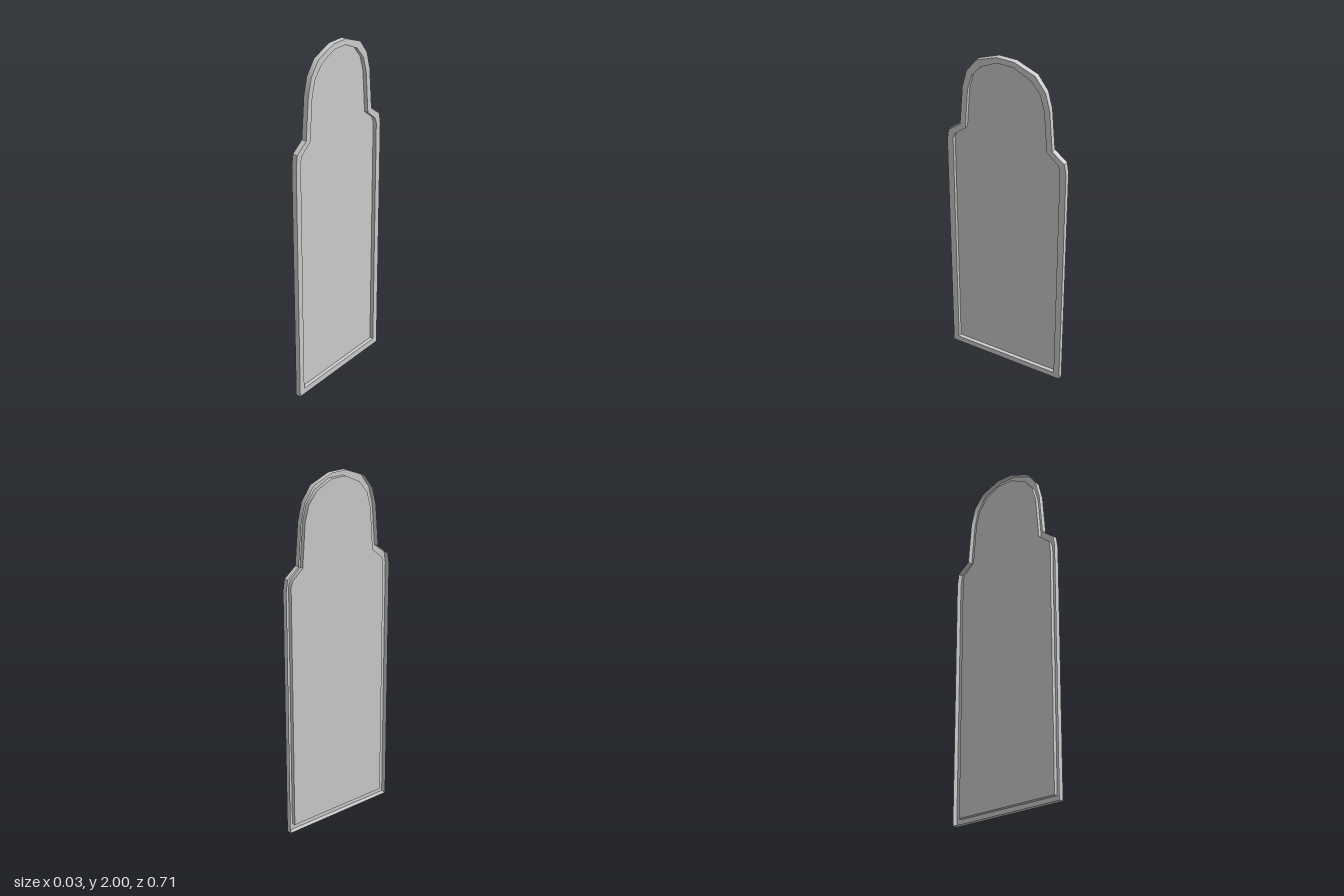
import * as THREE from 'three';
import { toCreasedNormals } from 'three/addons/utils/BufferGeometryUtils.js';

const HALF = 0.015;     // half thickness of the rim
const PANEL = -0.007;   // depth at which the recessed panel sits

// Right half of each outline, bottom to top: [half width, height]
const OUTER = [[0.355, 0], [0.355, 1.425], [0.345, 1.49], [0.273, 1.545],
  [0.253, 1.78], [0.228, 1.875], [0.17, 1.953], [0.05, 2]];
const INNER = [[0.319, 0.036], [0.319, 1.443], [0.307, 1.475], [0.241, 1.53],
  [0.222, 1.77], [0.197, 1.857], [0.143, 1.922], [0.047, 1.968]];

// Mirror a half outline into a closed counter-clockwise loop
function loop(half) {
  const right = half.map(([x, y]) => new THREE.Vector2(x, y));
  const left = half.map(([x, y]) => new THREE.Vector2(-x, y)).reverse();
  return [...right, ...left];
}

// Wall following a closed loop between two depths
function wall(points, back, front) {
  const pos = [];
  points.forEach((a, i) => {
    const b = points[(i + 1) % points.length];
    pos.push(a.x, a.y, back, b.x, b.y, back, b.x, b.y, front);
    pos.push(a.x, a.y, back, b.x, b.y, front, a.x, a.y, front);
  });
  const g = new THREE.BufferGeometry();
  g.setAttribute('position', new THREE.Float32BufferAttribute(pos, 3));
  return toCreasedNormals(g, 0.6);
}

export function createModel() {
  const group = new THREE.Group();
  group.name = 'archedPanel';
  const material = new THREE.MeshStandardMaterial({ color: 0xcccccc, side: THREE.DoubleSide });

  // Parts are drawn in the XY plane, then turned to face +x
  const add = (name, geometry) => {
    const mesh = new THREE.Mesh(geometry.rotateY(Math.PI / 2), material);
    mesh.name = name;
    group.add(mesh);
  };

  const outer = loop(OUTER);
  const inner = loop(INNER);

  // Raised border around the recess
  const border = new THREE.Shape(outer);
  border.holes.push(new THREE.Path(inner));
  add('frameFace', new THREE.ShapeGeometry(border).translate(0, 0, HALF));

  // Outer rim, open at the back
  add('outerRim', wall(outer, -HALF, HALF));

  // Sides of the recess
  add('recessWall', wall([...inner].reverse(), PANEL, HALF));

  // Recessed panel
  add('panel', new THREE.ShapeGeometry(new THREE.Shape(inner)).translate(0, 0, PANEL));

  return group;
}
